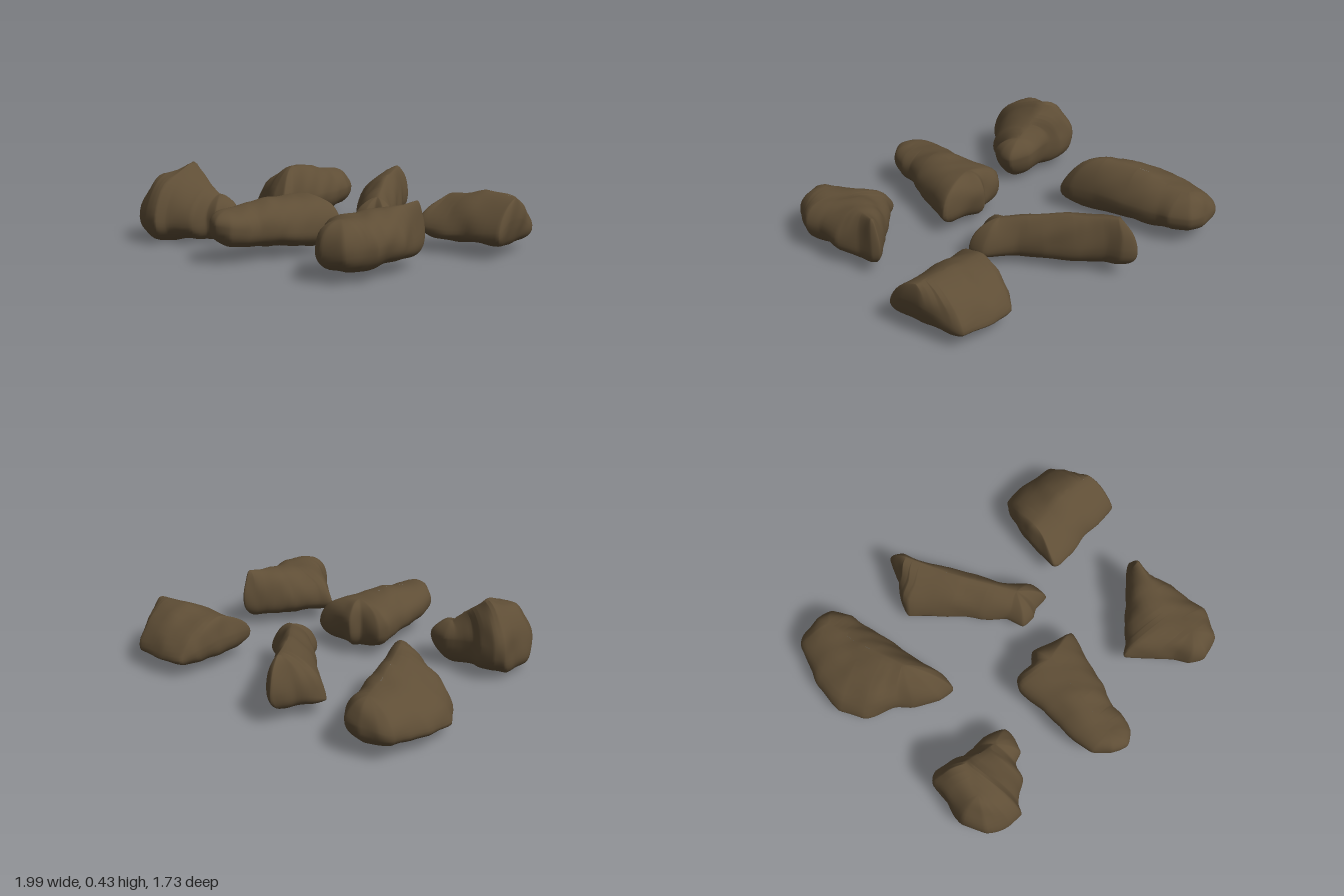
import * as THREE from 'three';
import { mergeVertices } from 'three/addons/utils/BufferGeometryUtils.js';

const V = (p) => new THREE.Vector3(...p);
const PER_CORNER = 6, HALF = 10, RIDGE_STEPS = 16;

// Point of a three-point line that lies level with p, in even steps so both flanks meet
function levelPoint(p, [a, b, c]) {
  const chord = new THREE.Line3(a, c);
  const u = Math.round(chord.closestPointToPointParameter(p, true) * RIDGE_STEPS) / RIDGE_STEPS;
  const mid = chord.closestPointToPointParameter(b, true);
  return u < mid
    ? a.clone().lerp(b, u / mid)
    : b.clone().lerp(c, (u - mid) / (1 - mid));
}

// Small smooth dents, a pure function of position
function dent({ x, y, z }, seed) {
  const a = Math.sin(17 * x + 9 * y + seed) * Math.sin(15 * z - 11 * y + seed * 2);
  const b = Math.sin(31 * x - 19 * z + seed * 3) * Math.sin(27 * y + 23 * z + seed);
  return 0.008 * a + 0.005 * b;
}

// A rock rises from its rim loop to a ridge line and falls to a keel line
function rockGeometry(rim, ridge, keel, seed, crown) {
  const curve = new THREE.CatmullRomCurve3(rim.map(V), true, 'catmullrom', 0.25);
  const top = ridge.map(V), bottom = keel.map(V);
  bottom.splice(1, 0, bottom[0].clone().lerp(bottom[1], 0.5));
  const centre = top[1].clone().lerp(bottom[1], 0.5);
  const pos = [], index = [], rows = 2 * HALF, around = rim.length * PER_CORNER;
  for (let i = 0; i < around; i++) {
    const r = curve.getPoint(i / around);
    const up = levelPoint(r, top), down = levelPoint(r, bottom);
    for (let j = 0; j <= rows; j++) {
      const t = (j - HALF) / HALF, a = Math.abs(t) * Math.PI / 2;
      const end = t > 0 ? up : down, power = t > 0 ? crown : 0.85;
      const h = Math.pow(Math.max(Math.cos(a), 0), power), v = Math.pow(Math.sin(a), power);
      const p = new THREE.Vector3(
        end.x + (r.x - end.x) * h, r.y + (end.y - r.y) * v, end.z + (r.z - end.z) * h);
      p.addScaledVector(p.clone().sub(centre).normalize(), dent(p, seed));
      p.y = Math.max(p.y, 0);
      pos.push(p.x, p.y, p.z);
      if (j < rows) {
        const k = i * (rows + 1) + j, n = ((i + 1) % around) * (rows + 1) + j;
        index.push(k, k + 1, n, n, k + 1, n + 1);
      }
    }
  }
  const geo = new THREE.BufferGeometry();
  geo.setAttribute('position', new THREE.Float32BufferAttribute(pos, 3));
  geo.setIndex(index);
  const welded = mergeVertices(geo, 1e-4);
  welded.computeVertexNormals();
  return welded;
}

export function createModel() {
  const group = new THREE.Group();
  const stone = new THREE.MeshStandardMaterial({ color: 0x5f4e36 });
  stone.name = 'brown stone';

  const addRock = (name, seed, crown, rim, ridge, keel) => {
    const mesh = new THREE.Mesh(rockGeometry(rim, ridge, keel, seed, crown), stone);
    mesh.name = name;
    group.add(mesh);
  };

  // Long rock, back right
  addRock('backRightRock', 1, 1.2, [
    [-0.92, 0.14, -0.81], [-0.85, 0.16, -0.85], [-0.75, 0.17, -0.87], [-0.65, 0.18, -0.84],
    [-0.58, 0.18, -0.75], [-0.57, 0.17, -0.66], [-0.52, 0.17, -0.45], [-0.49, 0.17, -0.28],
    [-0.44, 0.16, -0.12], [-0.45, 0.14, -0.04], [-0.55, 0.13, -0.05], [-0.68, 0.12, -0.12],
    [-0.75, 0.11, -0.18], [-0.92, 0.09, -0.27], [-1.0, 0.09, -0.4], [-0.98, 0.12, -0.6]],
  [[-0.73, 0.3, -0.76], [-0.68, 0.34, -0.5], [-0.6, 0.37, -0.27]],
  [[-0.78, 0.06, -0.7], [-0.7, 0.01, -0.32]]);

  // Slanted narrow rock, back middle
  addRock('backMiddleRock', 2, 1.2, [
    [-0.2, 0.18, -0.85], [-0.13, 0.19, -0.8], [-0.1, 0.18, -0.72], [0, 0.16, -0.59],
    [0.1, 0.15, -0.45], [0.17, 0.14, -0.32], [0.31, 0.1, -0.2], [0.32, 0.09, -0.1],
    [0.23, 0.1, -0.09], [0.18, 0.11, -0.05], [0.1, 0.11, -0.05], [0.06, 0.12, -0.15],
    [-0.05, 0.11, -0.25], [-0.15, 0.1, -0.38], [-0.33, 0.09, -0.55], [-0.32, 0.12, -0.62],
    [-0.25, 0.16, -0.72]],
  [[-0.16, 0.36, -0.73], [-0.02, 0.33, -0.46], [0.18, 0.27, -0.18]],
  [[-0.18, 0.06, -0.64], [0.15, 0.04, -0.18]]);

  // Wedge shaped rock, back left
  addRock('backLeftRock', 3, 1.25, [
    [0.47, 0.16, -0.2], [0.48, 0.18, -0.45], [0.52, 0.15, -0.6], [0.57, 0.12, -0.68],
    [0.7, 0.11, -0.7], [0.88, 0.11, -0.67], [0.92, 0.15, -0.58], [0.97, 0.2, -0.45],
    [0.99, 0.2, -0.32], [0.98, 0.14, -0.23], [0.8, 0.12, -0.21], [0.65, 0.12, -0.2],
    [0.53, 0.13, -0.18]],
  [[0.53, 0.3, -0.41], [0.74, 0.34, -0.44], [0.96, 0.32, -0.41]],
  [[0.58, 0.06, -0.42], [0.88, 0.06, -0.42]]);

  // Tall peaked rock, front right
  addRock('frontRightRock', 4, 1.1, [
    [-0.91, 0.17, 0.3], [-0.86, 0.19, 0.26], [-0.77, 0.2, 0.27], [-0.7, 0.2, 0.3],
    [-0.53, 0.18, 0.29], [-0.42, 0.17, 0.34], [-0.41, 0.17, 0.42], [-0.43, 0.16, 0.49],
    [-0.49, 0.14, 0.51], [-0.52, 0.13, 0.6], [-0.63, 0.13, 0.68], [-0.66, 0.14, 0.74],
    [-0.75, 0.14, 0.73], [-0.87, 0.14, 0.68], [-0.93, 0.13, 0.55], [-0.91, 0.15, 0.4]],
  [[-0.79, 0.38, 0.54], [-0.73, 0.44, 0.38], [-0.53, 0.27, 0.38]],
  [[-0.78, 0.01, 0.54], [-0.58, 0.02, 0.43]]);

  // Long rounded rock, front middle
  addRock('frontMiddleRock', 5, 0.95, [
    [-0.2, 0.17, 0.23], [-0.16, 0.17, 0.18], [-0.05, 0.18, 0.17], [0, 0.18, 0.12],
    [0.08, 0.17, 0.14], [0.25, 0.14, 0.19], [0.22, 0.14, 0.32], [0.17, 0.15, 0.52],
    [0.12, 0.17, 0.65], [0.12, 0.18, 0.72], [0.08, 0.2, 0.82], [0.01, 0.21, 0.86],
    [-0.08, 0.2, 0.84], [-0.15, 0.19, 0.76], [-0.17, 0.18, 0.65], [-0.18, 0.17, 0.4]],
  [[0.02, 0.32, 0.24], [0, 0.31, 0.5], [-0.03, 0.28, 0.75]],
  [[0.03, 0.04, 0.26], [-0.02, 0.08, 0.7]]);

  // Pointed triangular rock, front left
  addRock('frontLeftRock', 6, 1.05, [
    [0.77, 0.18, 0.11], [0.8, 0.17, 0.15], [0.81, 0.15, 0.25], [0.87, 0.16, 0.37],
    [0.87, 0.17, 0.5], [0.9, 0.17, 0.6], [0.87, 0.17, 0.67], [0.82, 0.16, 0.76],
    [0.7, 0.15, 0.8], [0.62, 0.15, 0.76], [0.57, 0.14, 0.68], [0.5, 0.14, 0.6],
    [0.38, 0.14, 0.48], [0.43, 0.15, 0.43], [0.55, 0.16, 0.31], [0.71, 0.17, 0.16]],
  [[0.77, 0.35, 0.18], [0.71, 0.32, 0.42], [0.71, 0.31, 0.67]],
  [[0.74, 0.06, 0.25], [0.71, 0.05, 0.62]]);

  return group;
}
